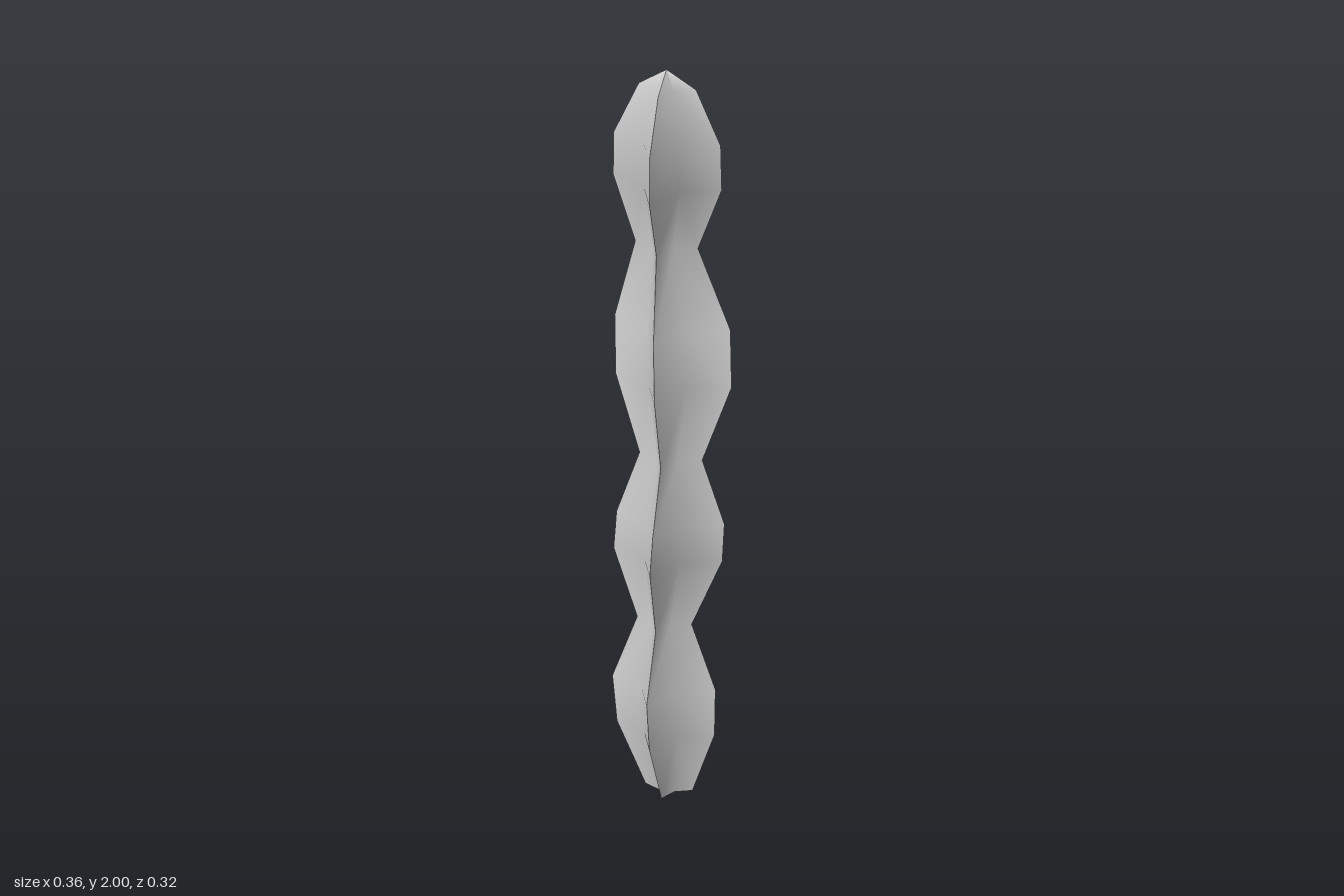
import * as THREE from 'three';
import { toCreasedNormals } from 'three/addons/utils/BufferGeometryUtils.js';

// Cross-sections up the stem: [height, centre x, centre z, half width, tilt of the ring]
const RINGS = [
  [0.01, -0.06, 0.053, 0.061, -0.005],
  [0.19, -0.055, 0.036, 0.126, -0.01],
  [0.325, -0.05, 0.025, 0.132, -0.011],
  [0.51, -0.04, 0.019, 0.069, -0.003],
  [0.703, -0.027, 0.019, 0.136, -0.012],
  [0.812, -0.024, 0.025, 0.134, -0.011],
  [0.985, -0.016, 0.02, 0.077, -0.003],
  [1.185, 0.01, 0.005, 0.141, -0.003],
  [1.33, 0.034, -0.02, 0.14, 0.003],
  [1.535, 0.035, -0.04, 0.075, 0.002],
  [1.705, 0.024, -0.028, 0.128, 0.013],
  [1.82, 0.016, -0.022, 0.125, 0.01],
  [1.957, 0.008, -0.013, 0.066, 0.005],
];
const APEX = [0.004, 2, -0.012];
const SIDES = 8;                           // four ribs and four valleys
const TURN = THREE.MathUtils.degToRad(24); // direction of the first rib
const VALLEY = 0.46;                       // valley radius relative to the rib

// Four-pointed star ring, counter-clockwise from above
function starRing([y, cx, cz, half, tilt]) {
  const radius = half / Math.cos(TURN);
  return Array.from({ length: SIDES }, (_, i) => {
    const a = TURN + (i * Math.PI * 2) / SIDES;
    const r = radius * (i % 2 ? VALLEY : 1);
    const dx = Math.cos(a) * r, dz = -Math.sin(a) * r;
    return [cx + dx, y + (tilt * (dx - dz)) / (1.445 * half), cz + dz];
  });
}

function surface(name, positions, material) {
  const geometry = new THREE.BufferGeometry();
  geometry.setAttribute('position', new THREE.Float32BufferAttribute(positions, 3));
  const mesh = new THREE.Mesh(toCreasedNormals(geometry, Math.PI / 3), material);
  mesh.name = name;
  return mesh;
}

export function createModel() {
  const group = new THREE.Group();
  group.name = 'ribbedCactus';
  const material = new THREE.MeshStandardMaterial({ color: 0xcccccc });
  const rings = RINGS.map(starRing);

  // Stem of four swollen segments, closed to a point at the top
  const stem = [];
  for (let k = 0; k < rings.length; k++) {
    const low = rings[k], high = rings[k + 1];
    for (let i = 0; i < SIDES; i++) {
      const j = (i + 1) % SIDES;
      if (!high) stem.push(...low[i], ...low[j], ...APEX);
      // Diagonals run the same way on both flanks of a rib
      else if (i % 2) stem.push(...low[i], ...low[j], ...high[i], ...low[j], ...high[j], ...high[i]);
      else stem.push(...low[i], ...low[j], ...high[j], ...low[i], ...high[j], ...high[i]);
    }
  }
  group.add(surface('stem', stem, material));

  // Star-shaped underside
  const cap = [];
  const [y, cx, cz] = RINGS[0];
  for (let i = 0; i < SIDES; i++) {
    cap.push(...rings[0][(i + 1) % SIDES], ...rings[0][i], cx, y, cz);
  }
  group.add(surface('base', cap, material));

  // Stand the plant on the ground
  group.position.y = -Math.min(...rings[0].map((p) => p[1]));
  return group;
}
